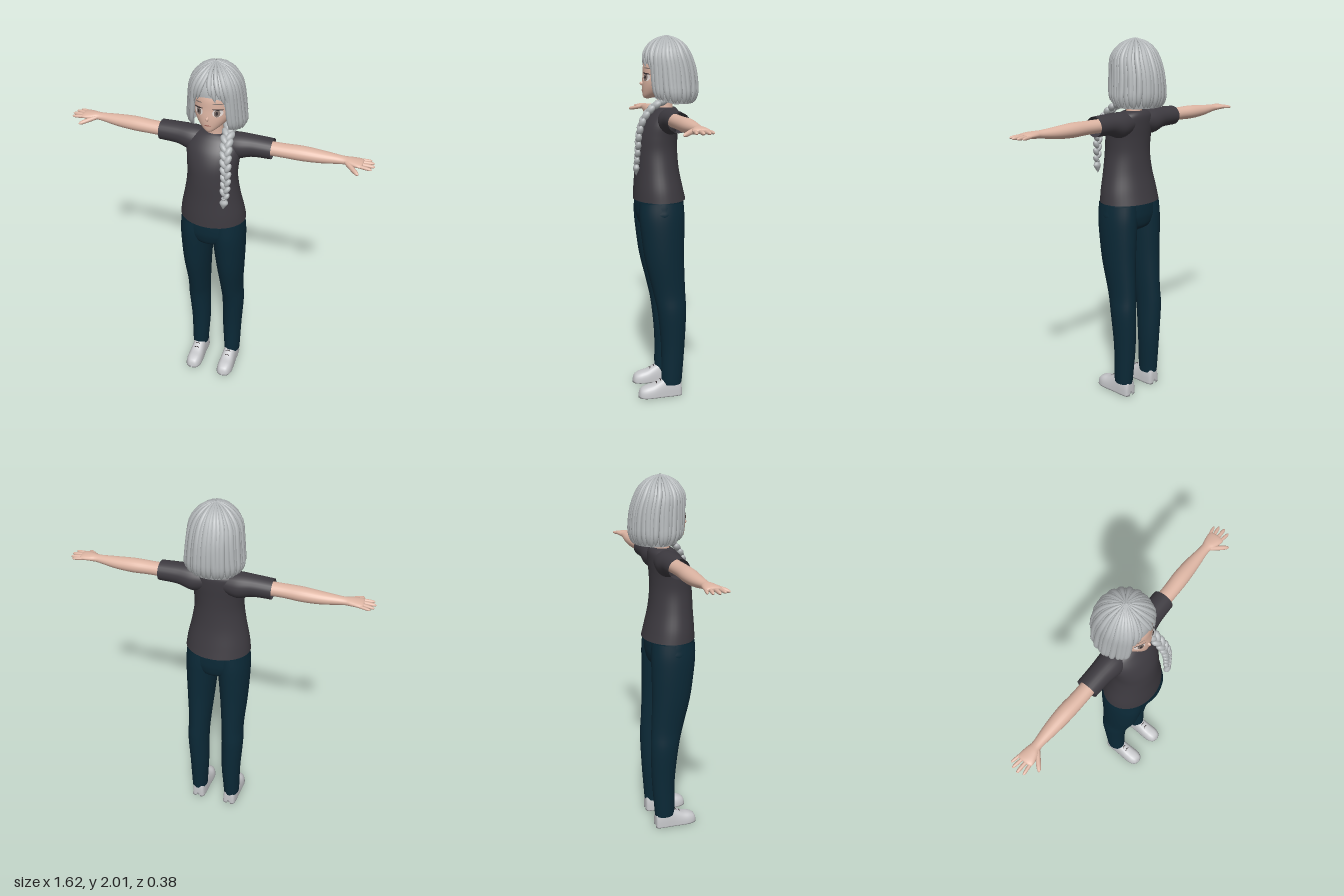
import * as THREE from 'three';

const V = (x, y, z) => new THREE.Vector3(x, y, z);
const paint = (name, color, double) => {
  const m = new THREE.MeshStandardMaterial({ color });
  m.name = name;
  if (double) m.side = THREE.DoubleSide;
  return m;
};

// Catmull-Rom interpolation over rows of numbers, t from 0 to 1
const spline = rows => t => {
  const n = rows.length - 1, f = Math.min(Math.max(t, 0), 1) * n;
  const i = Math.min(Math.floor(f), n - 1), u = f - i;
  const row = k => rows[Math.min(Math.max(k, 0), n)];
  const [a, b, c, d] = [row(i - 1), row(i), row(i + 1), row(i + 2)];
  return b.map((v, k) => v + 0.5 * u * (c[k] - a[k] + u * (2 * a[k] - 5 * v + 4 * c[k] - d[k]
    + u * (3 * (v - c[k]) + d[k] - a[k]))));
};

// Closed-ring surface from a point rule fn(t, angle)
function grid(n, seg, fn) {
  const pos = [], index = [];
  for (let i = 0; i <= n; i++) for (let j = 0; j < seg; j++) pos.push(...fn(i / n, j / seg * Math.PI * 2));
  for (let i = 0; i < n; i++) for (let j = 0; j < seg; j++) {
    const k = (j + 1) % seg, a = i * seg + j, b = a + seg, c = i * seg + k, d = c + seg;
    index.push(a, b, c, b, d, c);
  }
  const g = new THREE.BufferGeometry();
  g.setAttribute('position', new THREE.Float32BufferAttribute(pos, 3));
  g.setIndex(index);
  g.computeVertexNormals();
  return g;
}

// Rows: [y, centre x, centre z, radius x, radius z]
const loftY = (rows, n = 32, seg = 32) => {
  const s = spline(rows);
  return grid(n, seg, (t, a) => {
    const [y, cx, cz, rx, rz] = s(t);
    return [cx + rx * Math.cos(a), y, cz + rz * Math.sin(a)];
  });
};
// Rows: [x, centre y, centre z, radius y, radius z]
const loftX = (rows, n = 32, seg = 24) => {
  const s = spline(rows);
  return grid(n, seg, (t, a) => {
    const [x, cy, cz, ry, rz] = s(t);
    return [x, cy + ry * Math.sin(a), cz + rz * Math.cos(a)];
  });
};
// Flattened tapering strand along a path; outward(c) sets its thin direction
function strand(path, outward, width, thick, n = 16, seg = 8) {
  return grid(n, seg, (t, a) => {
    const c = path(t);
    const T = path(Math.min(t + 0.01, 1)).sub(path(Math.max(t - 0.01, 0))).normalize();
    const B = T.clone().cross(outward(c)).normalize();
    const N = B.clone().cross(T);
    return c.addScaledVector(B, width(t) * Math.cos(a)).addScaledVector(N, thick(t) * Math.sin(a)).toArray();
  });
}
function mirror(geo) {
  const g = geo.clone().scale(-1, 1, 1), ix = g.index.array;
  for (let i = 0; i < ix.length; i += 3) [ix[i], ix[i + 1]] = [ix[i + 1], ix[i]];
  g.computeVertexNormals();
  return g;
}

const headRows = [[1.677, 0, 0.085, 0, 0], [1.685, 0, 0.075, 0.025, 0.03], [1.715, 0, 0.035, 0.066, 0.076],
  [1.755, 0, 0.012, 0.094, 0.1], [1.8, 0, 0, 0.104, 0.108], [1.86, 0, -0.01, 0.106, 0.113],
  [1.92, 0, -0.02, 0.085, 0.092], [1.965, 0, -0.02, 0, 0]];
// Hair volume, crown to tips: [y, centre z, radius x, radius z]
const hairRows = [[2.0, -0.02, 0.002, 0.002], [1.982, -0.02, 0.05, 0.052], [1.95, -0.02, 0.09, 0.094],
  [1.9, -0.02, 0.12, 0.124], [1.83, -0.03, 0.131, 0.139], [1.75, -0.036, 0.139, 0.143],
  [1.7, -0.04, 0.144, 0.138], [1.655, -0.045, 0.132, 0.118]];

export function createModel() {
  const model = new THREE.Group();
  const skin = paint('skin', 0xddb5a3), hair = paint('hair', 0xb3b7b9, true), shirt = paint('shirt', 0x3d3a40, true);
  const denim = paint('denim', 0x0b2937, true), shoe = paint('shoe', 0xc6c7ca), sole = paint('sole', 0x8b8c8f);
  const white = paint('eyeWhite', 0xe6dcd8), iris = paint('iris', 0x85766f), dark = paint('dark', 0x3b3234);
  const lip = paint('lip', 0xa5655a);
  const add = (name, geo, mat, parent = model) => {
    const m = new THREE.Mesh(geo, mat);
    m.name = name;
    parent.add(m);
    return m;
  };
  const pair = (name, geo, mat) => {
    add(name + 'Left', geo, mat);
    add(name + 'Right', mirror(geo), mat);
  };

  // Shirt and sleeves
  add('shirtBody', loftY([[1.137, 0, 0.022, 0.18, 0.143], [1.2, 0, 0.028, 0.171, 0.134], [1.3, 0, 0.035, 0.149, 0.12],
    [1.4, 0, 0.037, 0.134, 0.113], [1.48, 0, 0.031, 0.137, 0.108], [1.55, 0, 0.014, 0.143, 0.096],
    [1.6, 0, -0.006, 0.125, 0.077], [1.623, 0, -0.014, 0.09, 0.06], [1.632, 0, -0.015, 0.056, 0.047]], 40, 40), shirt);
  pair('sleeve', loftX([[0.05, 1.57, -0.015, 0.055, 0.06], [0.12, 1.564, -0.016, 0.068, 0.068],
    [0.2, 1.575, -0.018, 0.056, 0.06], [0.3, 1.575, -0.02, 0.052, 0.057]]), shirt);

  // Arms, hands and fingers
  pair('arm', loftX([[0.2, 1.575, -0.02, 0.036, 0.04], [0.35, 1.577, -0.02, 0.035, 0.04], [0.45, 1.577, -0.024, 0.037, 0.042],
    [0.55, 1.577, -0.026, 0.031, 0.036], [0.65, 1.581, -0.025, 0.02, 0.025], [0.69, 1.583, -0.022, 0.018, 0.034],
    [0.73, 1.583, -0.02, 0.015, 0.042], [0.75, 1.582, -0.02, 0.01, 0.036], [0.752, 1.582, -0.02, 0, 0]]), skin);
  const fingers = [['littleFinger', 0.725, -0.052, 0.79, -0.066, 0.008], ['ringFinger', 0.73, -0.033, 0.806, -0.045, 0.009],
    ['middleFinger', 0.73, -0.012, 0.812, -0.014, 0.01], ['indexFinger', 0.725, 0.008, 0.802, 0.017, 0.009],
    ['thumb', 0.67, -0.008, 0.745, 0.063, 0.012]];
  for (const [name, x0, z0, x1, z1, r] of fingers) {
    const drop = name === 'thumb' ? 0.018 : 0.004;
    const size = t => r * Math.sqrt(1 - t ** 6);
    pair(name, strand(t => V(x0 + (x1 - x0) * t, 1.582 - drop * t, z0 + (z1 - z0) * t), () => V(0, 1, 0), size, size, 12, 10), skin);
  }

  // Trousers
  add('trouserSeat', loftY([[0.975, 0, 0.02, 0.03, 0.06], [1.0, 0, 0.023, 0.12, 0.108], [1.05, 0, 0.025, 0.175, 0.126],
    [1.1, 0, 0.026, 0.177, 0.13], [1.17, 0, 0.026, 0.168, 0.128]]), denim);
  pair('trouserLeg', loftY([[0.075, 0.103, -0.03, 0.046, 0.056], [0.12, 0.103, -0.03, 0.048, 0.06], [0.3, 0.1, -0.036, 0.056, 0.067],
    [0.5, 0.105, -0.03, 0.062, 0.08], [0.62, 0.1, -0.015, 0.063, 0.09], [0.8, 0.098, 0.01, 0.076, 0.108],
    [0.95, 0.094, 0.02, 0.086, 0.119], [1.05, 0.09, 0.024, 0.09, 0.124], [1.13, 0.085, 0.025, 0.088, 0.12]], 40), denim);

  // Shoes: flat-bottomed domes on thin soles, with laces
  const shoeShape = spline([[-0.086, 0.03, 0.01], [-0.08, 0.1, 0.034], [-0.04, 0.12, 0.04], [0, 0.118, 0.041], [0.04, 0.095, 0.043],
    [0.08, 0.074, 0.046], [0.12, 0.064, 0.045], [0.152, 0.046, 0.031], [0.164, 0.008, 0.004]]);
  const soft = v => Math.sign(v) * Math.abs(v) ** 0.7;
  pair('shoe', grid(32, 32, (t, a) => {
    const [z, h, rx] = shoeShape(t);
    return [0.1 + rx * soft(Math.sin(a)), Math.max(0.004, h * soft(Math.cos(a))), z];
  }), shoe);
  pair('shoeSole', grid(32, 24, (t, a) => {
    const [z, , rx] = shoeShape(t);
    return [0.1 + (rx + 0.002) * soft(Math.sin(a)), 0.007 + 0.007 * soft(Math.cos(a)), z];
  }), sole);
  for (const z of [0.035, 0.058]) {
    const h = shoeShape((z + 0.12) / 0.28 * 0.9)[1];
    const lace = new THREE.TubeGeometry(new THREE.CatmullRomCurve3(
      [V(0.075, h * 0.86, z + 0.008), V(0.1, h + 0.004, z), V(0.125, h * 0.86, z + 0.008)]), 10, 0.0025, 6);
    pair('lace', lace, dark);
  }

  // Head and neck
  add('neck', loftY([[1.58, 0, -0.015, 0.05, 0.045], [1.64, 0, -0.012, 0.041, 0.041], [1.74, 0, -0.005, 0.041, 0.043]], 12, 24), skin);
  add('head', loftY(headRows, 40, 40), skin);
  add('nose', new THREE.SphereGeometry(0.009, 12, 10).scale(0.8, 1.2, 1.5).translate(0, 1.757, 0.112), skin);

  // Face details: thin patches laid on the face surface
  const headAt = spline(headRows);
  const faceZ = (x, y) => {
    let lo = 0, hi = 1;
    for (let i = 0; i < 24; i++) { const m = (lo + hi) / 2; if (headAt(m)[0] < y) lo = m; else hi = m; }
    const [, , cz, rx, rz] = headAt(lo);
    return cz + rz * Math.sqrt(Math.max(0, 1 - (x / rx) ** 2));
  };
  const patch = (name, x, y, w, h, lift, tilt, mat) => {
    const g = new THREE.CircleGeometry(1, 24).scale(w, h, 1).rotateZ(tilt).translate(x, y, 0), p = g.attributes.position;
    for (let i = 0; i < p.count; i++) p.setZ(i, faceZ(p.getX(i), p.getY(i)) + lift);
    g.computeVertexNormals();
    add(name, g, mat);
  };
  for (const s of [-1, 1]) {
    patch('eyeWhite', s * 0.048, 1.79, 0.024, 0.02, 0.003, 0, white);
    patch('iris', s * 0.046, 1.79, 0.014, 0.019, 0.005, 0, iris);
    patch('pupil', s * 0.046, 1.79, 0.006, 0.01, 0.007, 0, dark);
    patch('upperLash', s * 0.049, 1.809, 0.026, 0.0035, 0.006, s * -0.12, dark);
    patch('eyebrow', s * 0.05, 1.837, 0.024, 0.003, 0.004, s * -0.1, iris);
  }
  patch('mouth', 0, 1.722, 0.018, 0.0028, 0.004, 0, lip);

  // Hair: an under-layer cut open at the face, covered by locks from the crown
  const hairAt = spline(hairRows), deg = Math.PI / 180;
  const onHair = (u, phi, k = 1) => {
    const [y, cz, rx, rz] = hairAt(u);
    return V(k * rx * Math.sin(phi), y - (1 - k) * 0.15, cz + k * rz * Math.cos(phi));
  };
  const hairEnd = d => d < 40 ? 0.5 + 0.1 * d / 40 : Math.min(0.99, 0.9 + (d - 40) * 0.002);
  add('hairUnderlayer', grid(28, 96, (t, a) => {
    const phi = Math.PI / 2 - a, wrapped = Math.atan2(Math.sin(phi), Math.cos(phi));
    return onHair((1 - t) * hairEnd(Math.abs(wrapped / deg)) * 0.98, phi, 0.95).toArray();
  }), hair);

  const locks = new THREE.Group();
  locks.name = 'hairLocks';
  model.add(locks);
  const outFromHead = c => c.clone().sub(V(0, 1.8, -0.03));
  const count = 38, step = 360 / count;
  for (let i = 0; i < count; i++) {
    const d = -180 + (i + 0.5) * step, front = Math.abs(d) < 40;
    const end = hairEnd(Math.abs(d)) + (front ? 0.03 : 0.01) * Math.sin(i * 2.4);
    const sweep = front ? (d > -6 ? 12 : -12) : 3 * Math.sin(i * 1.7);
    const lift = 1 + 0.02 * Math.sin(i * 2.9);
    const path = t => onHair(t * end, (d + sweep * t * t) * deg, lift);
    const width = t => (0.003 + hairAt(t * end)[2] * step * deg * 0.62) * Math.sqrt(1 - t ** (front ? 4 : 8));
    add('lock', strand(path, outFromHead, width, t => 0.002 + width(t) * 0.6), hair, locks);
  }

  // Braid over the left shoulder: alternating tilted plaits, then a loose tuft
  const braid = new THREE.Group();
  braid.name = 'braid';
  model.add(braid);
  const line = new THREE.CatmullRomCurve3([V(0.06, 1.695, -0.07), V(0.08, 1.675, 0), V(0.088, 1.635, 0.075),
    V(0.1, 1.57, 0.128), V(0.108, 1.5, 0.15), V(0.11, 1.43, 0.157), V(0.107, 1.36, 0.163)]);
  const plaits = 24;
  for (let i = 0; i < plaits; i++) {
    const t = i / (plaits - 1), s = i % 2 ? 1 : -1, k = 1.1 - 0.35 * t;
    const holder = new THREE.Object3D();
    const plait = add('plait', new THREE.SphereGeometry(1, 14, 10).scale(0.018 * k, 0.032 * k, 0.02 * k)
      .rotateZ(s * -0.55).translate(s * 0.013 * k, 0, 0), hair, braid);
    holder.quaternion.setFromUnitVectors(V(0, -1, 0), line.getTangentAt(t));
    plait.quaternion.copy(holder.quaternion);
    plait.position.copy(line.getPointAt(t));
  }
  add('braidTie', new THREE.TorusGeometry(0.011, 0.005, 8, 18).rotateX(Math.PI / 2).translate(0.107, 1.348, 0.164), hair, braid);
  add('braidTuft', loftY([[1.28, 0.102, 0.166, 0, 0], [1.3, 0.103, 0.166, 0.012, 0.01], [1.322, 0.106, 0.166, 0.023, 0.017],
    [1.34, 0.107, 0.165, 0.014, 0.012], [1.355, 0.107, 0.163, 0.01, 0.01]], 16, 14), hair, braid);
  return model;
}
